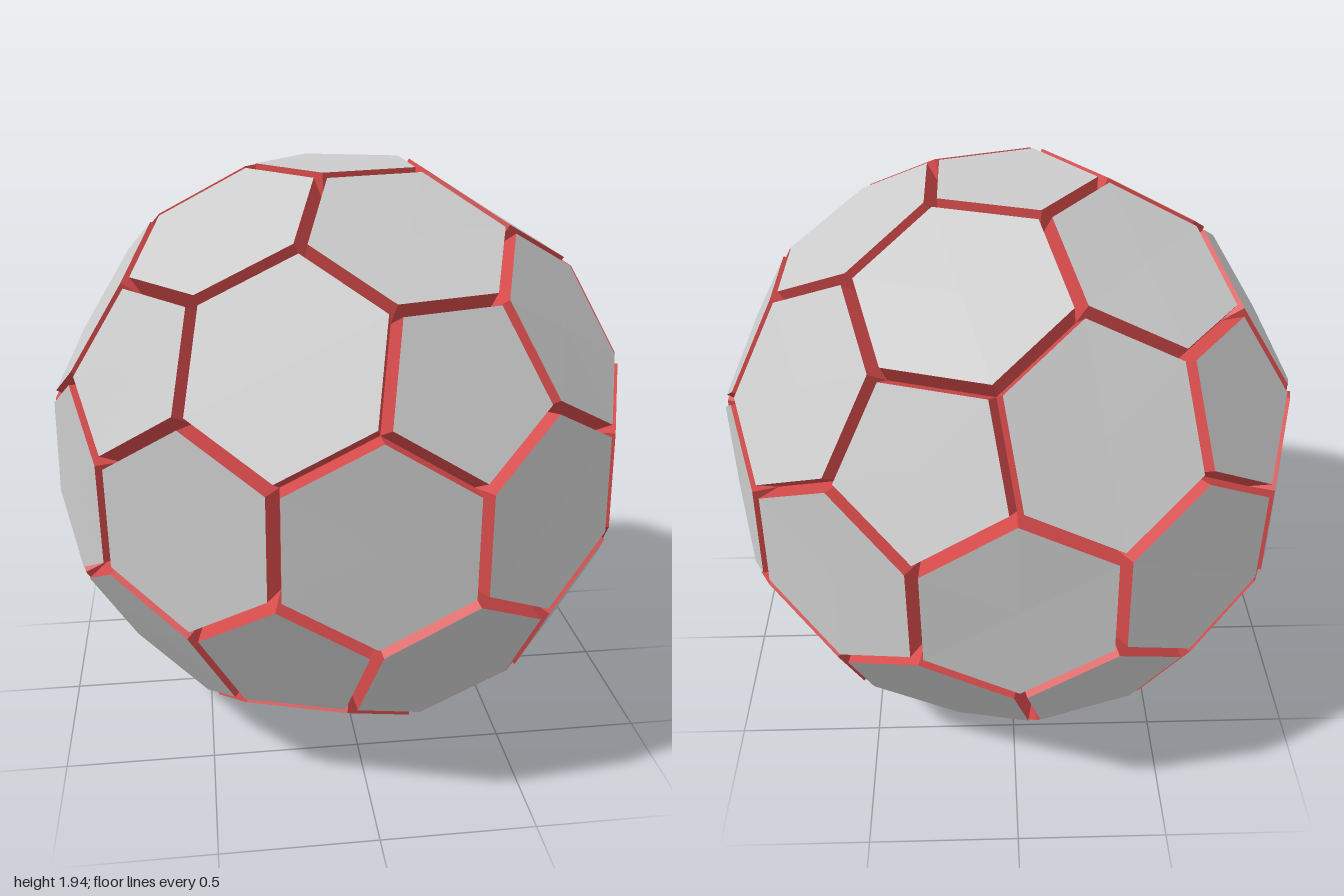
import * as THREE from 'three';

const RADIUS = 1.0195;      // radius of the panel corners before shrinking
const GROOVE_RADIUS = 0.93; // radius of the groove bottoms
const GAP = 0.022;          // half width of a groove

// Twelve pentagon directions: two poles and two staggered rings
function pentagonDirections() {
  const dirs = [new THREE.Vector3(0, 1, 0), new THREE.Vector3(0, -1, 0)];
  const y = 1 / Math.sqrt(5), r = 2 / Math.sqrt(5);
  for (let i = 0; i < 5; i++) {
    const a = (i * 2 * Math.PI) / 5;
    dirs.push(new THREE.Vector3(r * Math.cos(a), y, r * Math.sin(a)));
    dirs.push(new THREE.Vector3(-r * Math.cos(a), -y, -r * Math.sin(a)));
  }
  return dirs;
}

const mean = (...pts) =>
  pts.reduce((s, p) => s.add(p), new THREE.Vector3()).divideScalar(pts.length);
const middle = (a, b) => mean(a, b).normalize();
const adjacent = (a, b) => a.dot(b) > 0.4 && a.dot(b) < 0.5;

// Panel centres and the shared corners between panels
function layout() {
  const p = pentagonDirections();
  const centres = p.map((dir) => ({ dir, sides: 5 }));
  const corners = [];
  for (let i = 0; i < 12; i++) for (let j = i + 1; j < 12; j++) {
    if (!adjacent(p[i], p[j])) continue;
    centres.push({ dir: middle(p[i], p[j]), sides: 6 });
    for (let k = j + 1; k < 12; k++) {
      if (!adjacent(p[i], p[k]) || !adjacent(p[j], p[k])) continue;
      const ab = middle(p[i], p[j]), bc = middle(p[j], p[k]), ca = middle(p[k], p[i]);
      corners.push(mean(ab, bc, ca), mean(p[i], ab, ca), mean(p[j], ab, bc), mean(p[k], bc, ca));
    }
  }
  corners.forEach((c) => c.normalize());
  return { centres, corners };
}

// The corners nearest to a panel centre, anticlockwise seen from outside
function outline({ dir, sides }, corners) {
  const near = [...corners].sort((a, b) => b.dot(dir) - a.dot(dir)).slice(0, sides);
  const u = near[0].clone().projectOnPlane(dir).normalize();
  const w = dir.clone().cross(u);
  const angle = (q) => Math.atan2(q.dot(w), q.dot(u));
  return near.map((q) => [angle(q), q]).sort((a, b) => a[0] - b[0]).map((e) => e[1]);
}

function makeMesh(name, points, color) {
  const geometry = new THREE.BufferGeometry().setFromPoints(points);
  geometry.computeVertexNormals();
  const mesh = new THREE.Mesh(geometry, new THREE.MeshStandardMaterial({ color, flatShading: true }));
  mesh.name = name;
  return mesh;
}

export function createModel() {
  const { centres, corners } = layout();
  const pentagons = [], hexagons = [], walls = [];

  for (const panel of centres) {
    const ring = outline(panel, corners);
    const outer = ring.map((q) => q.clone().multiplyScalar(RADIUS));
    const base = ring.map((q) => q.clone().multiplyScalar(GROOVE_RADIUS));
    const centre = mean(...outer);
    // Draw the panel edge in by the same gap on every side
    const apothem = outer[0].distanceTo(centre) * Math.cos(Math.PI / panel.sides);
    outer.forEach((q) => q.lerp(centre, GAP / apothem));

    const faces = panel.sides === 5 ? pentagons : hexagons;
    for (let i = 0; i < panel.sides; i++) {
      const j = (i + 1) % panel.sides;
      faces.push(centre, outer[i], outer[j]);
      walls.push(outer[i], base[i], base[j], outer[i], base[j], outer[j]);
    }
  }

  const group = new THREE.Group();
  group.name = 'panelledBall';
  group.add(
    makeMesh('pentagonPanels', pentagons, 0xcccccc),
    makeMesh('hexagonPanels', hexagons, 0xcccccc),
    makeMesh('grooveWalls', walls, 0xd44a4a)
  );
  // Rest the bottom panel on the ground
  const lowest = Math.min(...pentagons.map((q) => q.y));
  group.children.forEach((m) => m.geometry.translate(0, -lowest, 0));
  return group;
}
